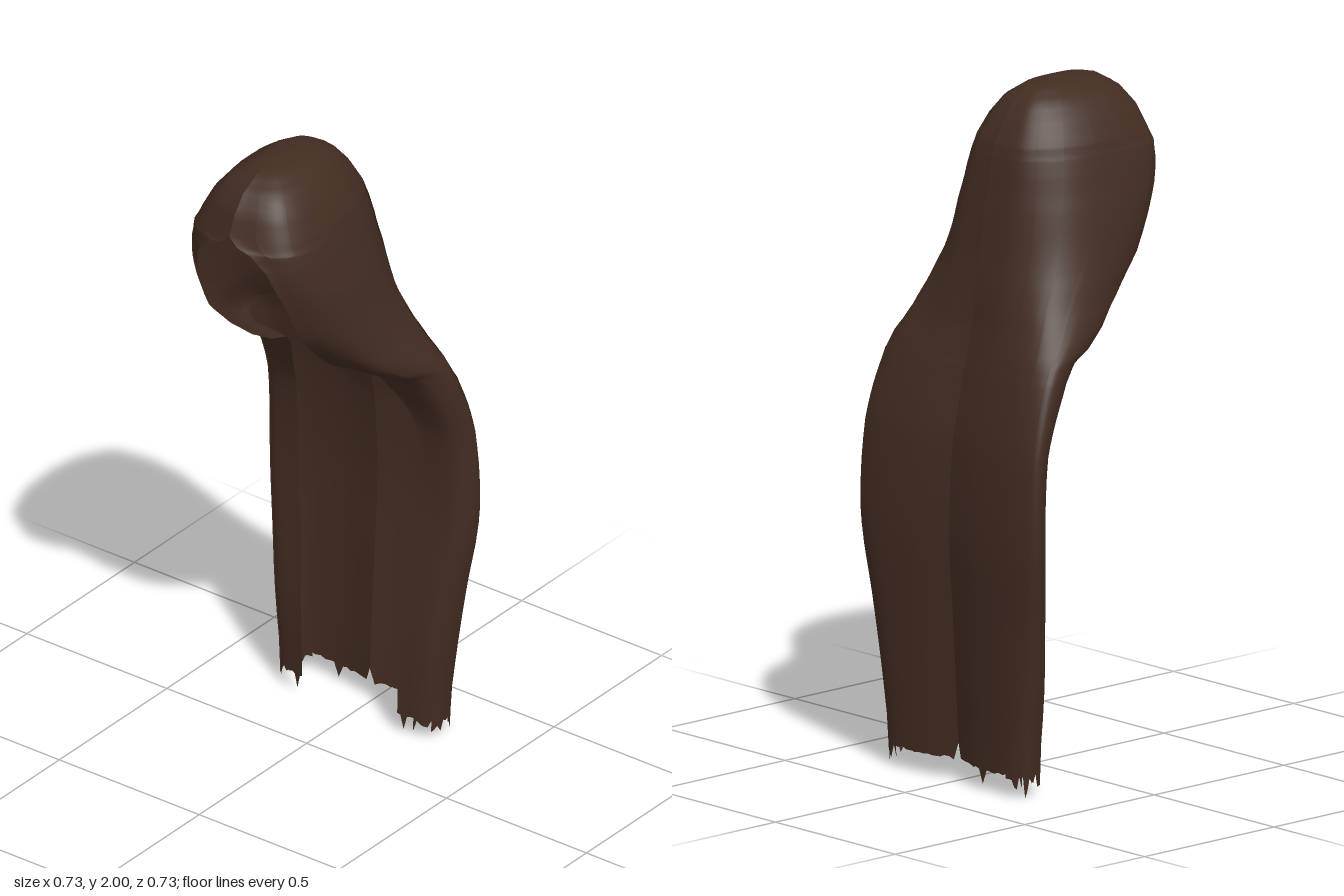
import * as THREE from 'three';

// Horizontal cross-sections: height, back z, half width, front z, half width of the front opening
const ROWS = [
  [1.998, 0.11, 0, 0.11, 0], [1.985, -0.025, 0.06, 0.23, 0], [1.95, -0.08, 0.115, 0.295, 0],
  [1.9, -0.12, 0.155, 0.335, 0], [1.84, -0.153, 0.186, 0.36, 0], [1.815, -0.16, 0.193, 0.364, 0.03],
  [1.8, -0.165, 0.198, 0.36, 0.075], [1.75, -0.175, 0.211, 0.345, 0.12], [1.65, -0.194, 0.234, 0.31, 0.152],
  [1.5, -0.219, 0.259, 0.24, 0.165], [1.4, -0.238, 0.281, 0.15, 0.157], [1.33, -0.25, 0.306, 0.07, 0.142],
  [1.28, -0.264, 0.322, -0.01, 0.135], [1.25, -0.274, 0.33, -0.085, 0.14], [1.2, -0.29, 0.339, -0.135, 0.16],
  [1.1, -0.315, 0.35, -0.195, 0.2], [1.0, -0.337, 0.357, -0.235, 0.218], [0.85, -0.349, 0.362, -0.25, 0.225],
  [0.7, -0.351, 0.358, -0.245, 0.218], [0.5, -0.338, 0.33, -0.22, 0.19], [0.3, -0.326, 0.305, -0.2, 0.175],
  [0.07, -0.315, 0.282, -0.2, 0.17],
];
const LOCKS = 8;   // locks on each side
const COLS = 6;    // columns across a lock
const SUB = 3;     // rows between two cross-sections

// Half of a cross-section, from the middle of the back round to the front edge
function section([y, zb, w, zf, xi]) {
  const cap = THREE.MathUtils.smoothstep(y, 1.05, 1.6);    // 0 on the flat length, 1 on the head
  const blunt = THREE.MathUtils.smoothstep(y, 1.45, 1.8);  // fuller hairline towards the top
  const d = zf - zb;
  const mix = THREE.MathUtils.lerp;
  const pts = [
    [0, zb + 0.022 * (1 - cap)],
    [w * mix(0.4, 0.5, cap), zb + d * mix(-0.04, 0.045, cap)],
    [w * mix(0.85, 0.87, cap), zb + d * mix(-0.04, 0.22, cap)],
    [w, zb + d * mix(0.2, 0.52, cap)],
    [mix(w * 0.92, xi + (w - xi) * mix(0.72, 0.8, blunt), cap), zb + d * mix(0.8, mix(0.82, 0.87, blunt), cap)],
    [xi, zf],
  ];
  return new THREE.CatmullRomCurve3(pts.map(([x, z]) => new THREE.Vector3(x, y, z)), false, 'centripetal');
}

// Sections refined between the table rows
function refinedSections() {
  const out = [];
  const at = (k) => ROWS[THREE.MathUtils.clamp(k, 0, ROWS.length - 1)];
  for (let i = 0; i < ROWS.length - 1; i++) {
    for (let s = 0; s < SUB; s++) {
      const t = s / SUB;
      out.push(section(ROWS[i].map((b, c) => {
        const a = at(i - 1)[c], e = at(i + 1)[c], f = at(i + 2)[c];
        if (c === 0 || i < 7) return b + (e - b) * t;
        return b + 0.5 * t * (e - a + t * (2 * a - 5 * b + 4 * e - f + t * (3 * (b - e) + f - a)));
      })));
    }
  }
  out.push(section(ROWS[ROWS.length - 1]));
  return out;
}

// One lock: a long strip of the shell, lifted a little at one edge, with a ragged tip
function lockGeometry(sections, index, side, tips) {
  const pos = [], idx = [];
  const t0 = index / LOCKS;
  const t1 = Math.min(1, (index + 1) / LOCKS + 0.03);
  const last = sections.length - 1;
  sections.forEach((curve, r) => {
    const mid = (curve.getPoint(0).z + curve.getPoint(1).z) / 2;
    for (let c = 0; c <= COLS; c++) {
      const u = c / COLS;
      const p = curve.getPoint(t0 + (t1 - t0) * u);
      const out = new THREE.Vector3(p.x, 0, p.z - mid).normalize();
      const lift = index < LOCKS - 1 ? 0.005 * u * Math.min(1, r / 15) : 0;
      p.addScaledVector(out, lift);
      if (r === last) p.y += tips[c];
      pos.push(p.x * side, p.y, p.z);
    }
  });
  const n = COLS + 1;
  for (let r = 0; r < last; r++) {
    for (let c = 0; c < COLS; c++) {
      const a = r * n + c, b = a + 1, d = a + n, e = d + 1;
      if (side > 0) idx.push(a, b, d, b, e, d);
      else idx.push(a, d, b, b, d, e);
    }
  }
  const g = new THREE.BufferGeometry();
  g.setAttribute('position', new THREE.Float32BufferAttribute(pos, 3));
  g.setIndex(idx);
  g.computeVertexNormals();
  return g;
}

export function createModel() {
  const group = new THREE.Group();
  group.name = 'longHair';
  const brown = new THREE.MeshStandardMaterial({ color: 0x422c21, side: THREE.DoubleSide });
  brown.name = 'darkBrown';

  const sections = refinedSections();
  let seed = 7;
  const random = () => (seed = (seed * 16807) % 2147483647) / 2147483647;

  for (const side of [1, -1]) {
    const half = new THREE.Group();
    half.name = side > 0 ? 'leftHair' : 'rightHair';
    for (let i = 0; i < LOCKS; i++) {
      // Short cuts along the back, longer points at the outer corners
      const depth = i >= 3 && i <= 6 ? 0.05 : 0.012;
      const tips = Array.from({ length: COLS + 1 }, () => -random() * depth);
      if (i === 0) tips[0] = 0.04;
      if (i === 1 && side < 0) tips[4] = -0.05;
      if (i === 4) tips[3] = -0.07;
      if (i === 7) tips[4] = -0.05;
      const lock = new THREE.Mesh(lockGeometry(sections, i, side, tips), brown);
      lock.name = 'lock' + (i + 1);
      half.add(lock);
    }
    group.add(half);
  }
  return group;
}
